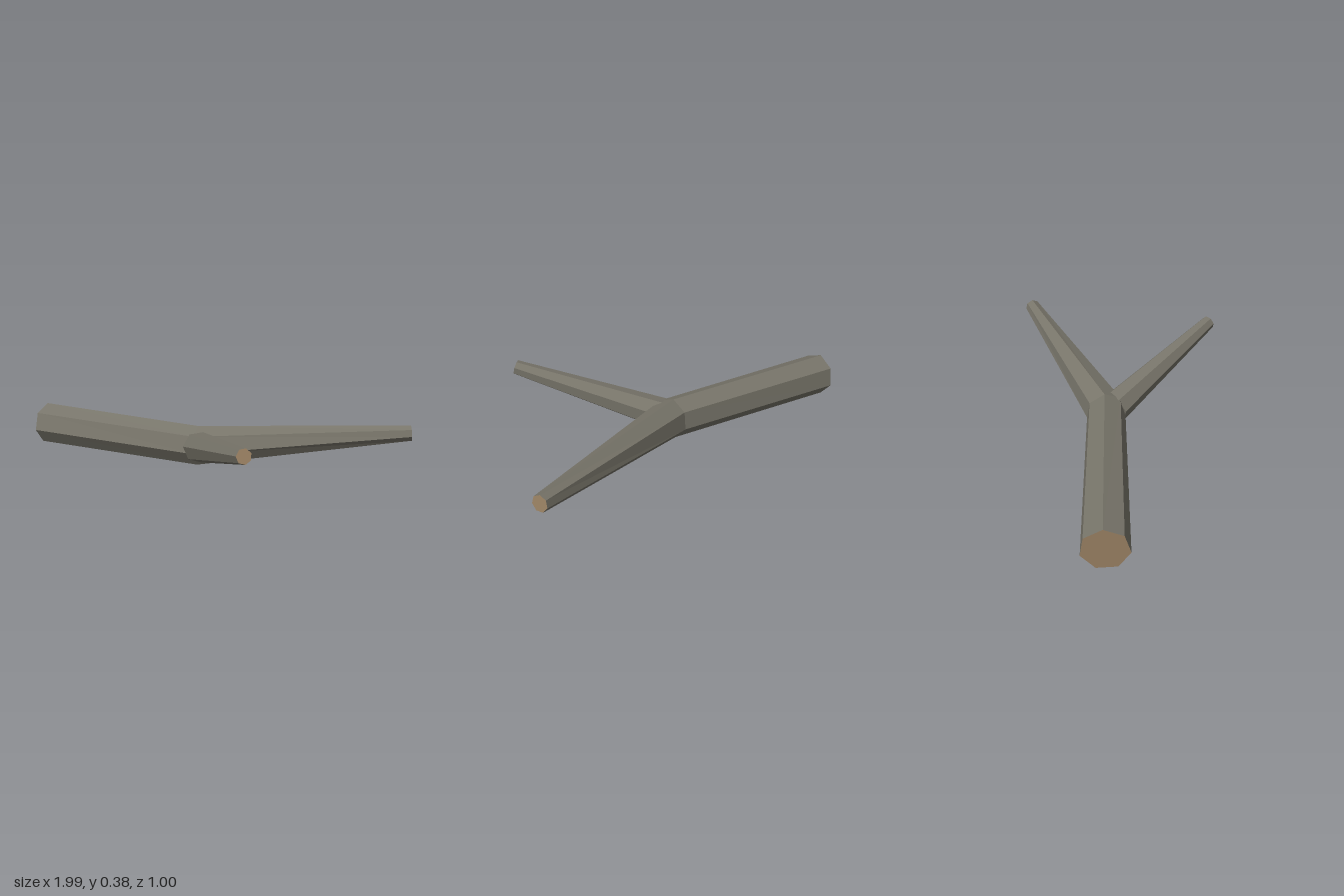
import * as THREE from 'three';

const SIDES = 7;
const UP = new THREE.Vector3(0, 1, 0);
const V = (x, y, z) => new THREE.Vector3(x, y, z);

// Ring of points around a centre, square to the given direction
function ring(centre, direction, radius, turn) {
  const d = direction.clone().normalize();
  const side = d.clone().cross(UP).normalize();
  const up = side.clone().cross(d);
  return Array.from({ length: SIDES }, (_, k) => {
    const a = turn + (k / SIDES) * Math.PI * 2;
    return centre.clone()
      .addScaledVector(up, radius * Math.cos(a))
      .addScaledVector(side, radius * Math.sin(a));
  });
}

function facetMesh(points, material, name) {
  const geometry = new THREE.BufferGeometry().setFromPoints(points);
  geometry.computeVertexNormals();
  const mesh = new THREE.Mesh(geometry, material);
  mesh.name = name;
  return mesh;
}

// Flat end disc; reversed for the starting end
function cap(points, centre, reversed) {
  return points.flatMap((p, k) => {
    const q = points[(k + 1) % SIDES];
    return reversed ? [centre, q, p] : [centre, p, q];
  });
}

// Tapered limb through a list of stations { c: centre, r: radius, turn: degrees }
function limb(name, stations, bark, startMaterial, endMaterial) {
  const group = new THREE.Group();
  group.name = name;
  const last = stations.length - 1;
  const rings = stations.map(({ c, r, turn }, i) => {
    const d = V(0, 0, 0);
    if (i > 0) d.add(c.clone().sub(stations[i - 1].c).normalize());
    if (i < last) d.add(stations[i + 1].c.clone().sub(c).normalize());
    return ring(c, d, r, THREE.MathUtils.degToRad(turn));
  });
  const skin = [];
  for (let i = 0; i < last; i++) {
    for (let k = 0; k < SIDES; k++) {
      const n = (k + 1) % SIDES;
      const [a, b, c, d] = [rings[i][k], rings[i][n], rings[i + 1][n], rings[i + 1][k]];
      skin.push(a, b, c, a, c, d);
    }
  }
  group.add(
    facetMesh(skin, bark, name + 'Bark'),
    facetMesh(cap(rings[0], stations[0].c, true), startMaterial, name + 'StartCap'),
    facetMesh(cap(rings[last], stations[last].c, false), endMaterial, name + 'EndCap'),
  );
  return group;
}

export function createModel() {
  const bark = new THREE.MeshStandardMaterial({ color: 0x78756a, flatShading: true });
  bark.name = 'bark';
  const wood = new THREE.MeshStandardMaterial({ color: 0x9a8163, flatShading: true });
  wood.name = 'cutWood';

  const model = new THREE.Group();
  model.name = 'forkedBranch';

  // Main stem, bent in the middle and tapering to the tip
  model.add(limb('stem', [
    { c: V(-0.988, 0.107, -0.19), r: 0.109, turn: -4 },
    { c: V(-0.005, 0.145, -0.115), r: 0.1, turn: -4 },
    { c: V(0.977, 0.254, -0.468), r: 0.039, turn: 0 },
  ], bark, wood, wood));

  // Side branch growing from the bend
  model.add(limb('sideBranch', [
    { c: V(0.012, 0.152, -0.07), r: 0.079, turn: -19 },
    { c: V(0.497, 0.352, 0.474), r: 0.036, turn: -19 },
  ], bark, bark, wood));

  return model;
}
